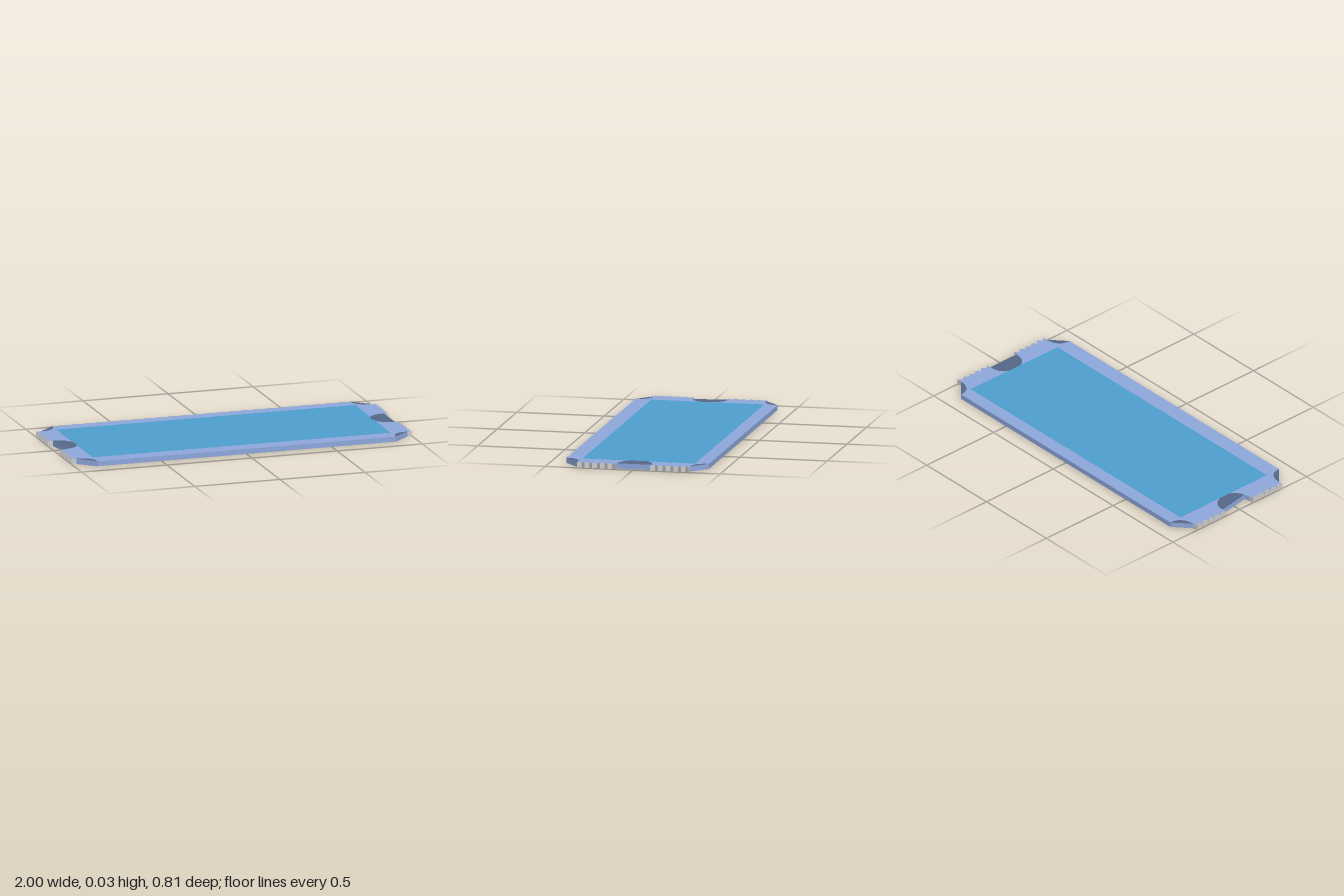
import * as THREE from 'three';

const THICK = 0.03;
const EDGE = 0.972;   // x where the toothed strips begin
const ARM = 0.875;    // half length of the long edges
const HALF = 0.407;   // half width
const INNER = 0.32;   // z where the corner cuts end

const mat = (color) => new THREE.MeshStandardMaterial({ color });
const blue = mat(0x8ea8dc);
const teal = mat(0x4f9fcf);
const shade = mat(0x566888);
const grey = mat(0xcccccc);

// Flat plate from an (x, z) shape, lying between heights top - depth and top
function plate(name, shape, top, depth, materials) {
  const geo = new THREE.ExtrudeGeometry(shape, { depth, bevelEnabled: false, curveSegments: 12 });
  geo.rotateX(Math.PI / 2).translate(0, top, 0);
  const mesh = new THREE.Mesh(geo, materials);
  mesh.name = name;
  return mesh;
}

const polygon = (points) => new THREE.Shape(points.map(([x, z]) => new THREE.Vector2(x, z)));

// Curved cuts: four corners and one notch at each end, in outline order
const corner = (sx, sz, outward) => {
  const a = [sx * ARM, sz * HALF], b = [sx * EDGE, sz * INNER];
  const [from, to] = outward ? [a, b] : [b, a];
  return { from, ctrl: [sx * ARM, sz * (INNER + 0.005)], to };
};
const cuts = [
  corner(1, -1, true),
  { from: [EDGE, -0.1], ctrl: [0.83, -0.11, 0.83, 0.1], to: [EDGE, 0.095] },
  corner(1, 1, false),
  corner(-1, 1, true),
  { from: [-0.94, 0.09], ctrl: [-0.82, 0.06, -0.87, -0.12], to: [-EDGE, -0.1] },
  corner(-1, -1, false),
];

function follow(path, cut) {
  if (cut.ctrl.length === 2) path.quadraticCurveTo(...cut.ctrl, ...cut.to);
  else path.bezierCurveTo(...cut.ctrl, ...cut.to);
}

export function createModel() {
  const ticket = new THREE.Group();
  ticket.name = 'ticket';

  // Border frame with the curved cuts and an opening for the panel
  const panelOutline = [[-0.875, -0.33], [0.88, -0.33], [0.873, 0.315], [-0.875, 0.315]];
  const outline = new THREE.Shape();
  outline.moveTo(-ARM, -HALF);
  cuts.forEach((cut, i) => {
    outline.lineTo(...cut.from);
    follow(outline, cut);
    if (i === 3) outline.lineTo(-EDGE, 0.1);
  });
  // The panel touches the notches, so the frame stays whole and the panel is a thin skin around it
  ticket.add(plate('border', outline, THICK - 0.0005, THICK - 0.001, blue));

  // Centre panel, cut back where the end notches reach into it
  const panel = polygon(panelOutline);
  ticket.add(plate('panelTop', panel, THICK, 0.0005, teal));
  ticket.add(plate('panelBottom', panel, 0.0005, 0.0005, teal));

  // Shaded fillers that close each cut along its chord
  cuts.forEach((cut) => {
    const fill = new THREE.Shape();
    fill.moveTo(...cut.from);
    follow(fill, cut);
    fill.closePath();
    ticket.add(plate('cutFillTop', fill, THICK, THICK / 2, [shade, blue]));
    ticket.add(plate('cutFillBottom', fill, THICK / 2, THICK / 2, blue));
  });

  // Toothed strips on both ends, with grey cut edges
  const teeth = 5;
  for (const sx of [-1, 1]) {
    for (const sz of [-1, 1]) {
      const points = [[sx * EDGE, sz * 0.1]];
      for (let i = 0; i <= teeth * 2; i++) {
        const x = i % 2 ? 0.979 : 1;
        points.push([sx * x, sz * (0.1 + (INNER - 0.1) * i / (teeth * 2))]);
      }
      points.push([sx * EDGE, sz * INNER]);
      ticket.add(plate('toothedEdge', polygon(points), THICK, THICK, [blue, grey]));
    }
  }
  return ticket;
}
